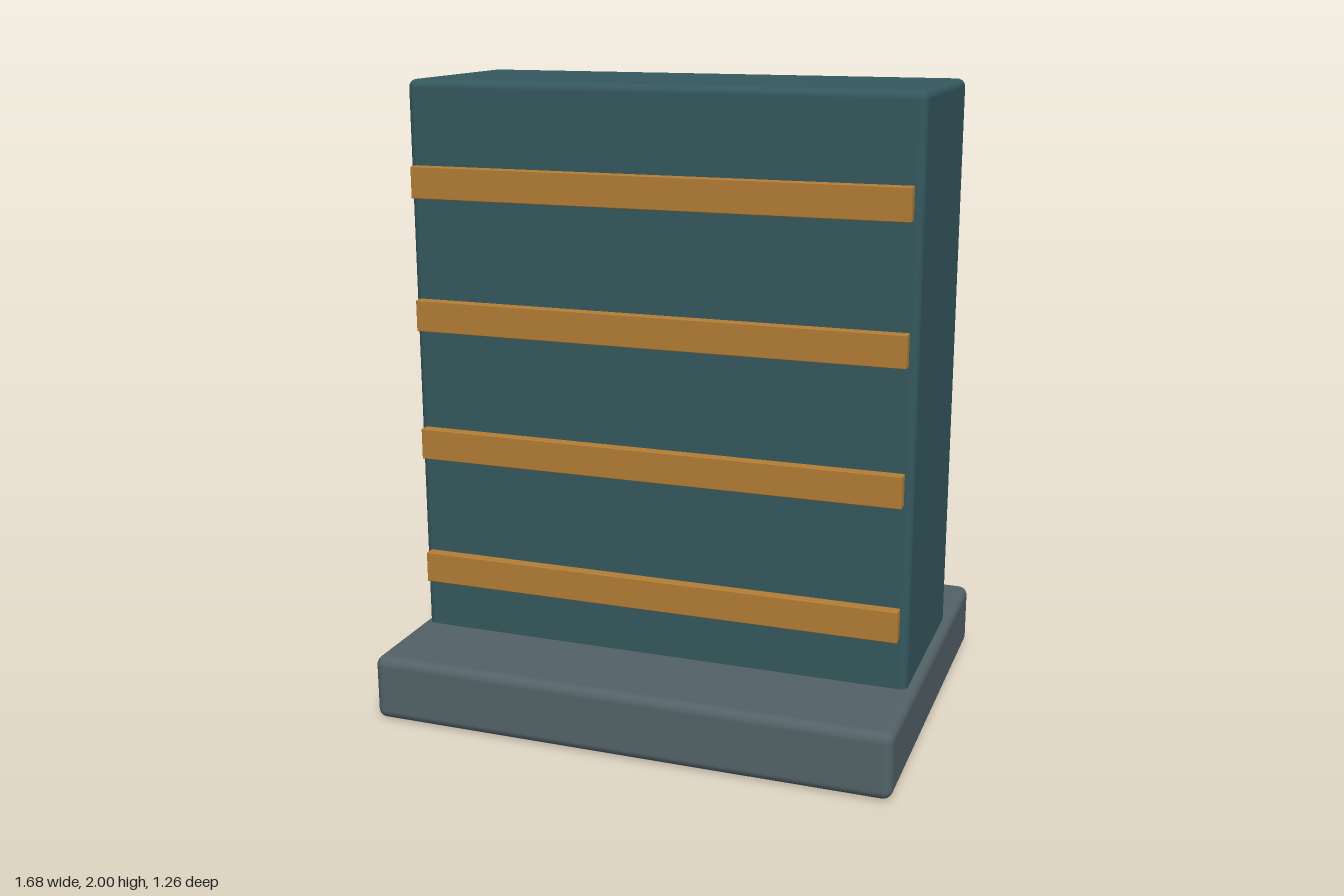
import * as THREE from 'three';
import { RoundedBoxGeometry } from 'three/addons/geometries/RoundedBoxGeometry.js';

export function createModel() {
  const model = new THREE.Group();
  const slate = new THREE.MeshStandardMaterial({ color: 0x536267 });
  const teal = new THREE.MeshStandardMaterial({ color: 0x34585e });
  const amber = new THREE.MeshStandardMaterial({ color: 0xb27d36 });

  const add = (name, geometry, material, y, z = 0) => {
    const mesh = new THREE.Mesh(geometry, material);
    mesh.name = name;
    mesh.position.set(0, y, z);
    model.add(mesh);
  };

  // Plinth and upright slab, both with softly rounded edges
  add('base', new RoundedBoxGeometry(1.676, 0.21, 1.256, 3, 0.03), slate, 0.105);
  add('body', new RoundedBoxGeometry(1.62, 1.82, 0.62, 3, 0.025), teal, 1.09);

  // Four evenly spaced strips just proud of the front face
  const strip = new RoundedBoxGeometry(1.57, 0.1, 0.036, 2, 0.003);
  for (let i = 0; i < 4; i++) {
    add(`frontStrip${i + 1}`, strip, amber, 0.425 + i * 0.421, 0.335);
  }
  return model;
}
